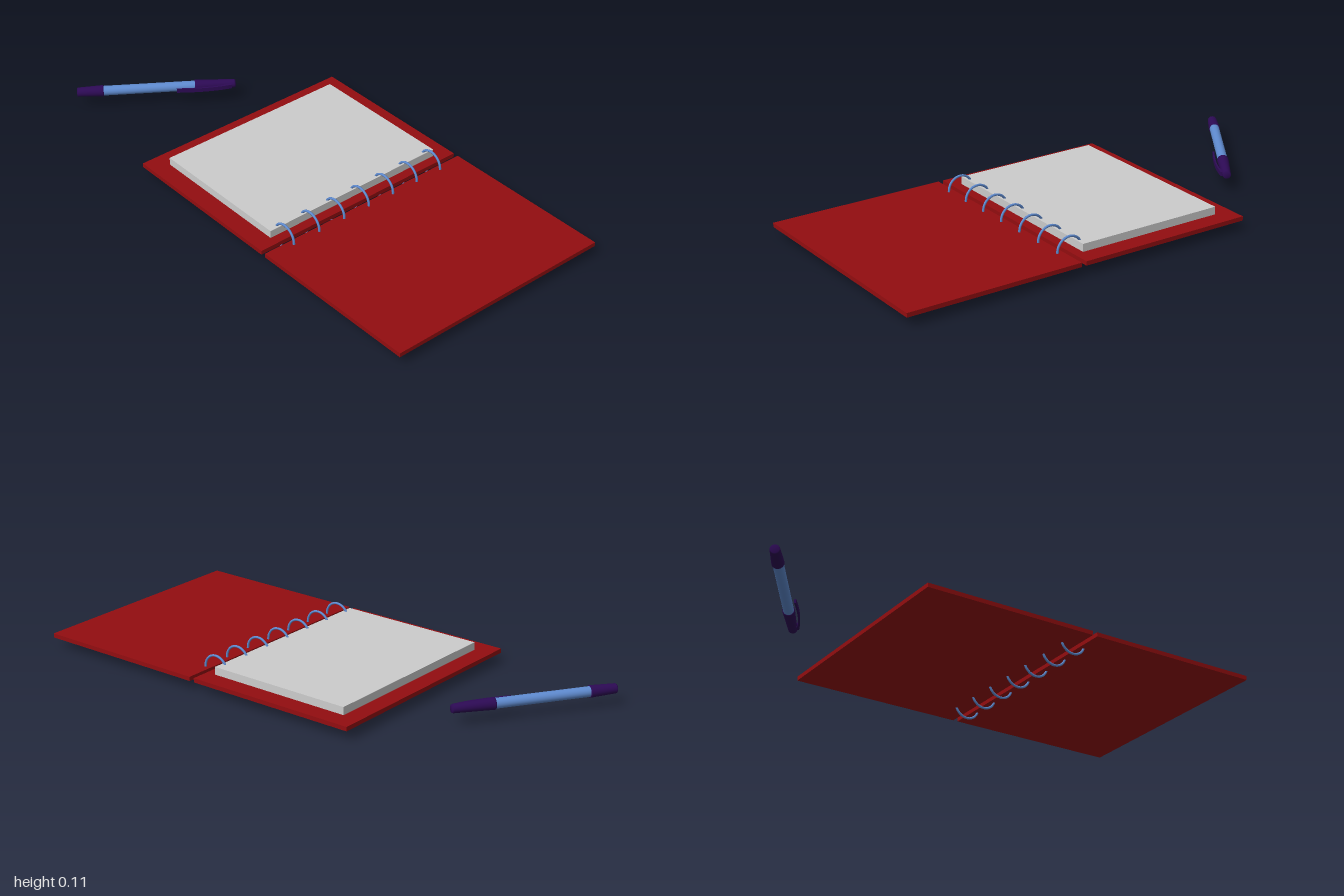
import * as THREE from 'three';

export function createModel() {
  const model = new THREE.Group();
  model.name = 'notebookAndPen';
  const mat = (name, color) => {
    const m = new THREE.MeshStandardMaterial({ color });
    m.name = name;
    return m;
  };
  const red = mat('coverRed', 0x930d10);
  const paper = mat('paperGrey', 0xcccccc);
  const blue = mat('steelBlue', 0x5f8bd0);
  const purple = mat('darkPurple', 0x2d0a55);

  const add = (parent, name, geometry, material, x = 0, y = 0, z = 0) => {
    const mesh = new THREE.Mesh(geometry, material);
    mesh.name = name;
    mesh.position.set(x, y, z);
    parent.add(mesh);
    return mesh;
  };

  // Open binder, turned slightly about its hinge
  const binder = new THREE.Group();
  binder.name = 'binder';
  binder.position.set(0.264, 0, -0.002);
  binder.rotation.y = -0.126;
  model.add(binder);

  const cover = new THREE.BoxGeometry(0.675, 0.016, 0.897);
  add(binder, 'rightCover', cover, red, -0.347, 0.044, 0);
  add(binder, 'leftCover', cover, red, 0.347, 0.044, 0);
  add(binder, 'pageBlock', new THREE.BoxGeometry(0.57, 0.029, 0.757), paper, -0.331, 0.0665, 0);

  // Binding rings
  const ring = new THREE.TorusGeometry(0.0495, 0.0045, 8, 32);
  for (let i = -3; i <= 3; i++) {
    add(binder, 'bindingRing', ring, blue, -0.017, 0.054, i * 0.1134);
  }

  // Pen lying beside the binder, its local x running from the tail to the clip end
  const pen = new THREE.Group();
  pen.name = 'pen';
  pen.position.set(-0.787, 0.061, -0.015);
  pen.rotation.y = 0.85;
  model.add(pen);

  const turned = (points) => {
    // Separate each segment so rims stay crisp while the barrel stays smooth
    const profile = points.map(([r, x]) => new THREE.Vector2(r, x));
    return new THREE.LatheGeometry(profile, 24).rotateZ(-Math.PI / 2);
  };
  add(pen, 'penBarrel', turned([[0.0185, -0.205], [0.0185, 0.15]]), blue);
  add(pen, 'penTail', turned([
    [0, -0.3], [0.015, -0.3], [0.0175, -0.296], [0.0215, -0.205], [0.0215, -0.2], [0.018, -0.2],
  ]), purple);
  add(pen, 'penCap', turned([
    [0.018, 0.145], [0.0215, 0.145], [0.0215, 0.15], [0.016, 0.294], [0.0135, 0.3], [0, 0.3],
  ]), purple);

  // Clip: a thin bowed strip on the side of the cap
  const outline = new THREE.Shape();
  outline.moveTo(0.285, 0.01);
  outline.lineTo(0.285, 0.022);
  outline.quadraticCurveTo(0.2, 0.042, 0.075, 0.032);
  outline.lineTo(0.075, 0.026);
  outline.quadraticCurveTo(0.2, 0.034, 0.262, 0.018);
  outline.lineTo(0.262, 0.01);
  const clip = new THREE.ExtrudeGeometry(outline, { depth: 0.016, bevelEnabled: false, curveSegments: 10 });
  clip.translate(0, 0, -0.008).rotateX(Math.PI / 2);
  add(pen, 'penClip', clip, purple);

  return model;
}
